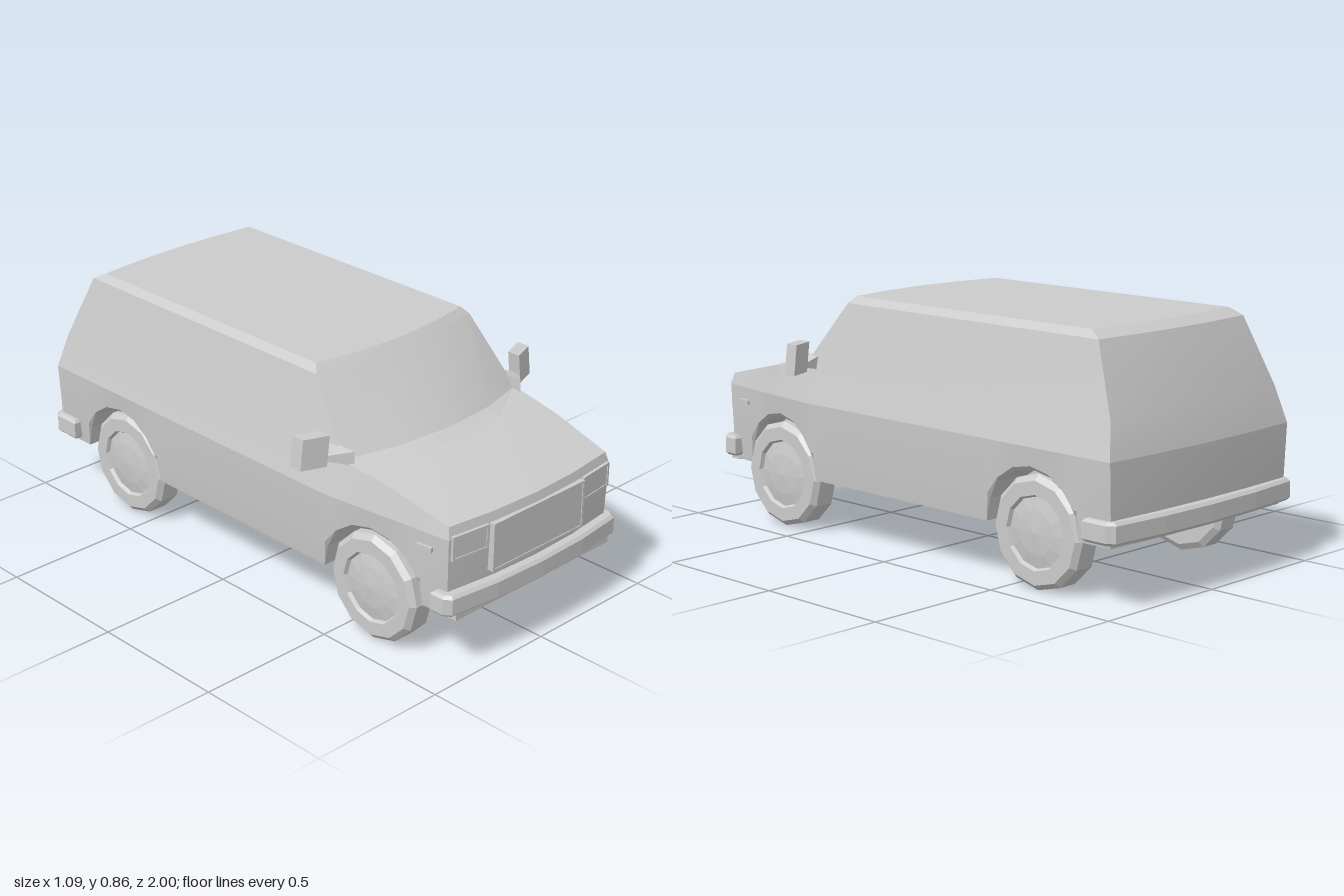
import * as THREE from 'three';
import { toCreasedNormals } from 'three/addons/utils/BufferGeometryUtils.js';

const mat = new THREE.MeshStandardMaterial({ color: 0xcccccc, side: THREE.DoubleSide });
const flat = new THREE.MeshStandardMaterial({ color: 0xcccccc, side: THREE.DoubleSide, flatShading: true });
const { clamp, lerp } = THREE.MathUtils;

const AXLES = [0.625, -0.61];
const ARCH_R = 0.2, SILL = 0.2, STEPS = 8, WELL_X = 0.29;
const archPoints = zc => Array.from({ length: STEPS + 1 }, (_, i) => {
  const a = Math.PI * i / STEPS;
  return [zc + ARCH_R * Math.cos(a), SILL + ARCH_R * Math.sin(a)];
});
const archY = z => {
  const zc = AXLES.find(c => Math.abs(z - c) < ARCH_R);
  return zc === undefined ? SILL : SILL + Math.sqrt(ARCH_R ** 2 - (z - zc) ** 2);
};
const hoodY = z => z > 0.7 ? lerp(0.57, 0.515, (z - 0.7) / 0.23) : z > 0.5 ? lerp(0.6, 0.57, (z - 0.5) / 0.2) : 0.6;
const sideX = (w, wf, z) => lerp(w, wf, clamp((z - 0.45) / 0.48, 0, 1));

function mesh(name, geometry, parent, material = flat) {
  const m = new THREE.Mesh(geometry, material);
  m.name = name;
  parent.add(m);
  return m;
}

function geometryFrom(points, index) {
  const g = new THREE.BufferGeometry();
  g.setAttribute('position', new THREE.Float32BufferAttribute(points.flat(), 3));
  g.setIndex(index);
  return g;
}

// Body shell: plan-view rings stacked from the sill to the roof
function bodyGeometry() {
  // y, front z (centre, corner), rear z (centre, corner), half width, half width at nose, front centre y
  const rings = [
    { y: archY, f: [0.95, 0.925], b: [-0.955, -0.94], w: 0.425, wf: 0.37 },
    { y: z => Math.max(0.3, archY(z) + 0.012), f: [0.96, 0.93], b: [-0.965, -0.95], w: 0.437, wf: 0.38 },
    { y: () => 0.475, f: [0.965, 0.935], b: [-0.97, -0.952], w: 0.445, wf: 0.385 },
    { y: hoodY, f: [0.955, 0.925], b: [-0.94, -0.922], w: 0.412, wf: 0.375, yc: 0.515 },
    { y: hoodY, f: [0.74, 0.7], b: [-0.94, -0.922], w: 0.412, wf: 0.375, yc: 0.578 },
    { y: hoodY, f: [0.63, 0.55], b: [-0.94, -0.922], w: 0.412, wf: 0.375, yc: 0.59 },
    { y: hoodY, f: [0.575, 0.49], b: [-0.94, -0.922], w: 0.412, wf: 0.4, yc: 0.612 },
    { y: () => 0.83, f: [0.36, 0.32], b: [-0.845, -0.825], w: 0.36, wf: 0.36 },
    { y: () => 0.855, f: [0.335, 0.295], b: [-0.8, -0.78], w: 0.34, wf: 0.34 },
  ];
  const stations = [0.7, 0.625, 0.55, 0.49, 0.32, 0, -0.2]
    .filter(z => z < 0.42).concat(AXLES.flatMap(c => archPoints(c).map(p => p[0]))).sort((a, b) => b - a);
  const across = [-1, -0.5, 0, 0.5, 1];
  const points = [];
  for (const r of rings) {
    const xf = sideX(r.w, r.wf, r.f[1]), yCorner = r.y(r.f[1]);
    const side = stations.map(s => {
      const z = clamp(s, r.b[1], r.f[1]);
      return [sideX(r.w, r.wf, z), r.y(z), z];
    });
    for (const t of across) {
      const k = 1 - t * t;
      points.push([t * xf, lerp(yCorner, r.yc ?? yCorner, k), lerp(r.f[1], r.f[0], k)]);
    }
    points.push(...side);
    for (const t of across) points.push([-t * r.w, r.y(-0.94), lerp(r.b[1], r.b[0], 1 - t * t)]);
    points.push(...side.reverse().map(([x, y, z]) => [-x, y, z]));
  }
  const n = points.length / rings.length, index = [];
  const v = i => new THREE.Vector3(...points[i]);
  const tri = (a, b, c) => {
    if (new THREE.Triangle(v(a), v(b), v(c)).getArea() > 1e-7) index.push(a, b, c);
  };
  for (let j = 0; j < rings.length - 1; j++) for (let i = 0; i < n; i++) {
    const a = j * n + i, b = j * n + (i + 1) % n;
    tri(a, b, b + n);
    tri(a, b + n, a + n);
  }
  // Roof panel
  points.push([0, 0.855, -0.25]);
  const top = (rings.length - 1) * n;
  for (let i = 0; i < n; i++) tri(top + i, top + (i + 1) % n, points.length - 1);
  return toCreasedNormals(geometryFrom(points, index), 0.22);
}

// Floor pan with notches for the wheel wells
function floorGeometry() {
  const right = [[0.37, 0.925]];
  for (const c of AXLES) {
    const z0 = c + ARCH_R, z1 = c - ARCH_R;
    right.push([sideX(0.425, 0.37, z0), z0], [WELL_X, z0], [WELL_X, z1], [sideX(0.425, 0.37, z1), z1]);
  }
  right.push([0.425, -0.94]);
  const outline = [[0, 0.95], ...right, [0, -0.955], ...right.map(([x, z]) => [-x, z]).reverse()];
  const g = new THREE.ShapeGeometry(new THREE.Shape(outline.map(([x, z]) => new THREE.Vector2(x, z))));
  return g.rotateX(Math.PI / 2).translate(0, SILL, 0);
}

// Wheel well: arched liner and inner wall
function wellGeometry(zc, s) {
  const points = [], index = [];
  archPoints(zc).forEach(([z, y]) => points.push([s * sideX(0.425, 0.37, z), y, z], [s * WELL_X, y, z]));
  for (let i = 0; i < STEPS; i++) {
    const a = 2 * i;
    index.push(a, a + 1, a + 3, a, a + 3, a + 2, 1, a + 3, a + 1);
  }
  return geometryFrom(points, index);
}

// Wrap-around bumper: curved plan outline, extruded upward; s is +1 for front, -1 for rear
function addBumper(name, parent, s, half, zCentre, zCorner, zEnd) {
  const outer = [[half, zEnd], [half, zCorner - 0.025], [half - 0.02, zCorner], [half * 0.5, lerp(zCorner, zCentre, 0.75)], [0, zCentre]];
  const inner = [[0, zCentre - 0.06], [half - 0.05, zCorner - 0.05], [half - 0.045, zEnd]];
  const mirror = list => list.map(([x, z]) => [-x, z]).reverse();
  const loop = [...outer, ...mirror(outer.slice(0, -1)), ...mirror(inner.slice(1)), ...inner];
  const shape = new THREE.Shape(loop.map(([x, z]) => new THREE.Vector2(x, -s * z)));
  const g = new THREE.ExtrudeGeometry(shape, {
    depth: 0.055, bevelEnabled: true, bevelSize: 0.01, bevelOffset: -0.01, bevelThickness: 0.01, bevelSegments: 1,
  });
  g.rotateX(-Math.PI / 2).translate(0, 0.225, 0);
  mesh(name, g, parent);
}

// Framed panel with a recessed face
function addPanel(name, parent, w, h, x, y, z, turn) {
  const rect = (P, a, b) => new P([[-a, -b], [a, -b], [a, b], [-a, b]].map(p => new THREE.Vector2(...p)));
  const group = new THREE.Group();
  group.name = name;
  const shape = rect(THREE.Shape, w / 2, h / 2);
  shape.holes.push(rect(THREE.Path, w / 2 - 0.008, h / 2 - 0.008));
  mesh(name + 'Frame', new THREE.ExtrudeGeometry(shape, { depth: 0.03, bevelEnabled: false }), group).position.z = -0.015;
  mesh(name + 'Face', new THREE.BoxGeometry(w - 0.01, h - 0.01, 0.024), group);
  group.position.set(x, y, z);
  group.rotation.y = turn;
  parent.add(group);
}

function wheelGeometry(s) {
  const profile = [[0, 0.31], [0.168, 0.31], [0.19, 0.325], [0.19, 0.395], [0.172, 0.413], [0.125, 0.413], [0.118, 0.4], [0.075, 0.408], [0, 0.414]];
  const g = new THREE.LatheGeometry(profile.map(p => new THREE.Vector2(...p)), 12);
  return g.rotateZ(-s * Math.PI / 2);
}

// Door mirror: skewed head on a tapered arm
function addMirror(parent, s) {
  const group = new THREE.Group();
  group.name = s > 0 ? 'leftMirror' : 'rightMirror';
  const head = new THREE.BoxGeometry(0.085, 0.105, 0.05);
  const p = head.attributes.position;
  for (let i = 0; i < p.count; i++) {
    const x = p.getX(i), y = p.getY(i);
    p.setXYZ(i, s * (0.497 + x - 0.12 * y), 0.6425 + y, 0.432 + p.getZ(i) - 0.38 * x);
  }
  mesh('mirrorHead', head, group);
  const arm = new THREE.BoxGeometry(1, 1, 1);
  const q = arm.attributes.position;
  for (let i = 0; i < q.count; i++) {
    const out = q.getX(i) > 0, up = q.getY(i) > 0, front = q.getZ(i) > 0;
    q.setXYZ(i, s * (out ? 0.465 : 0.395), up ? (out ? 0.62 : 0.64) : (out ? 0.605 : 0.59), out ? (front ? 0.455 : 0.425) : (front ? 0.53 : 0.43));
  }
  mesh('mirrorArm', arm, group);
  parent.add(group);
}

export function createModel() {
  const van = new THREE.Group();
  van.name = 'van';
  mesh('body', bodyGeometry(), van, mat);
  mesh('floor', floorGeometry(), van);

  addBumper('frontBumper', van, 1, 0.412, 0.995, 0.965, 0.885);
  addBumper('rearBumper', van, -1, 0.46, 1.0, 0.975, 0.85);
  mesh('frontValance', new THREE.BoxGeometry(0.74, 0.025, 0.05), van).position.set(0, 0.207, 0.935);

  addPanel('grille', van, 0.435, 0.17, 0, 0.4, 0.958, 0);
  for (const s of [-1, 1]) {
    addPanel(s > 0 ? 'leftHeadlight' : 'rightHeadlight', van, 0.148, 0.085, s * 0.3, 0.443, 0.938, s * 0.11);
    const marker = mesh('sideMarker', new THREE.BoxGeometry(0.016, 0.016, 0.06), van);
    marker.position.set(s * 0.396, 0.423, 0.845);
    marker.rotation.y = -s * 0.12;
    addMirror(van, s);
    for (const zc of AXLES) {
      const end = zc > 0 ? 'front' : 'rear';
      mesh(end + 'WheelWell', wellGeometry(zc, s), van);
      mesh(end + 'Wheel', wheelGeometry(s), van).position.set(0, 0.19, zc);
    }
  }
  return van;
}
